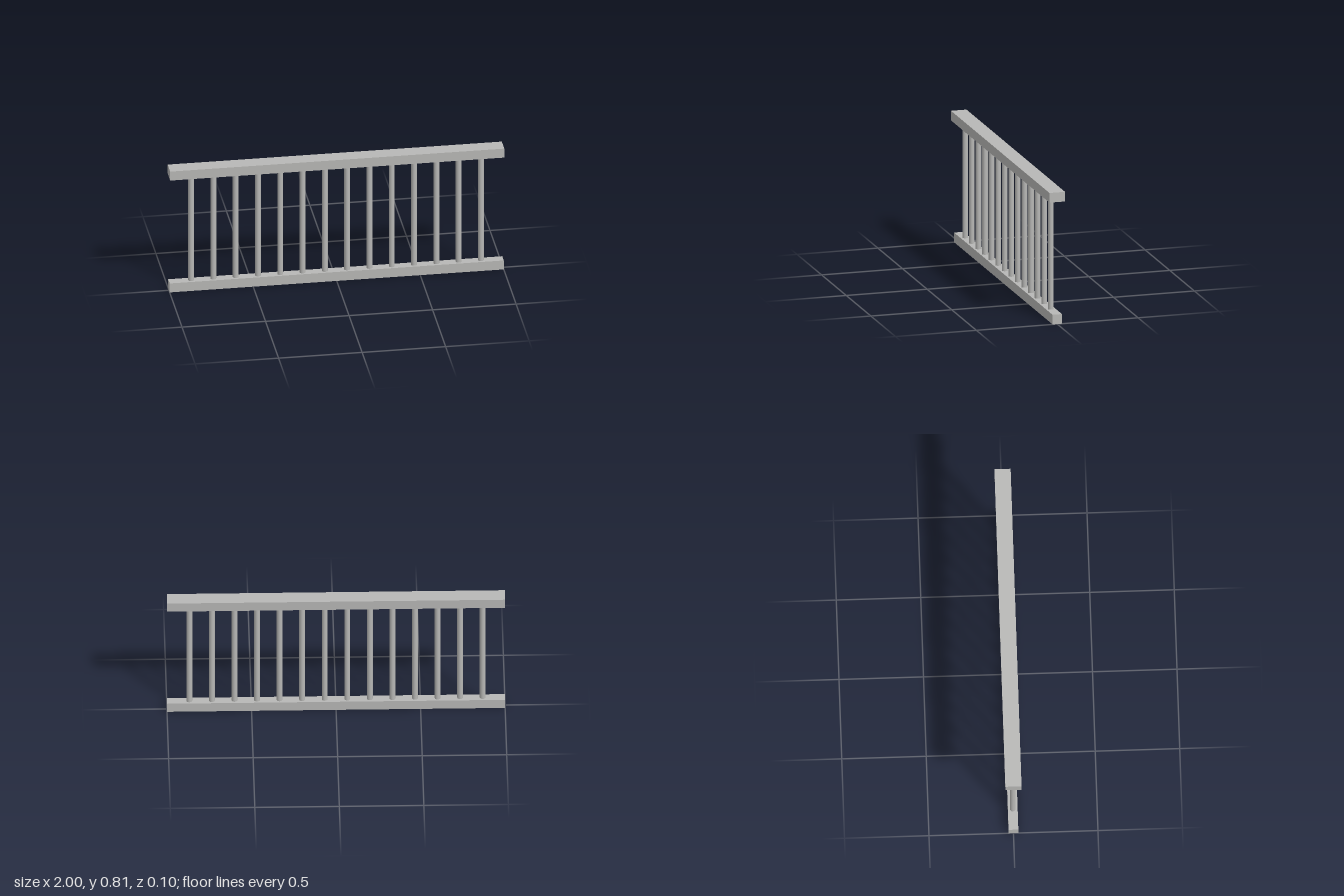
import * as THREE from 'three';

export function createModel() {
  const railing = new THREE.Group();
  railing.name = 'railing';
  const grey = new THREE.MeshStandardMaterial({ color: 0xb8b8b6 });
  grey.name = 'grey';

  // Handrail and base rail
  function addRail(name, bottom, top, depth) {
    const rail = new THREE.Mesh(new THREE.BoxGeometry(2, top - bottom, depth), grey);
    rail.name = name;
    rail.position.y = (bottom + top) / 2;
    railing.add(rail);
  }
  addRail('handrail', 0.746, 0.805, 0.096);
  addRail('baseRail', 0, 0.059, 0.058);

  // Evenly spaced round balusters between the rails
  const count = 14, spacing = 0.1335;
  const rod = new THREE.CylinderGeometry(0.0175, 0.0175, 0.687, 12, 1, true);
  for (let i = 0; i < count; i++) {
    const baluster = new THREE.Mesh(rod, grey);
    baluster.name = `baluster${i + 1}`;
    baluster.position.set((i - (count - 1) / 2) * spacing, 0.4025, 0);
    railing.add(baluster);
  }
  return railing;
}
